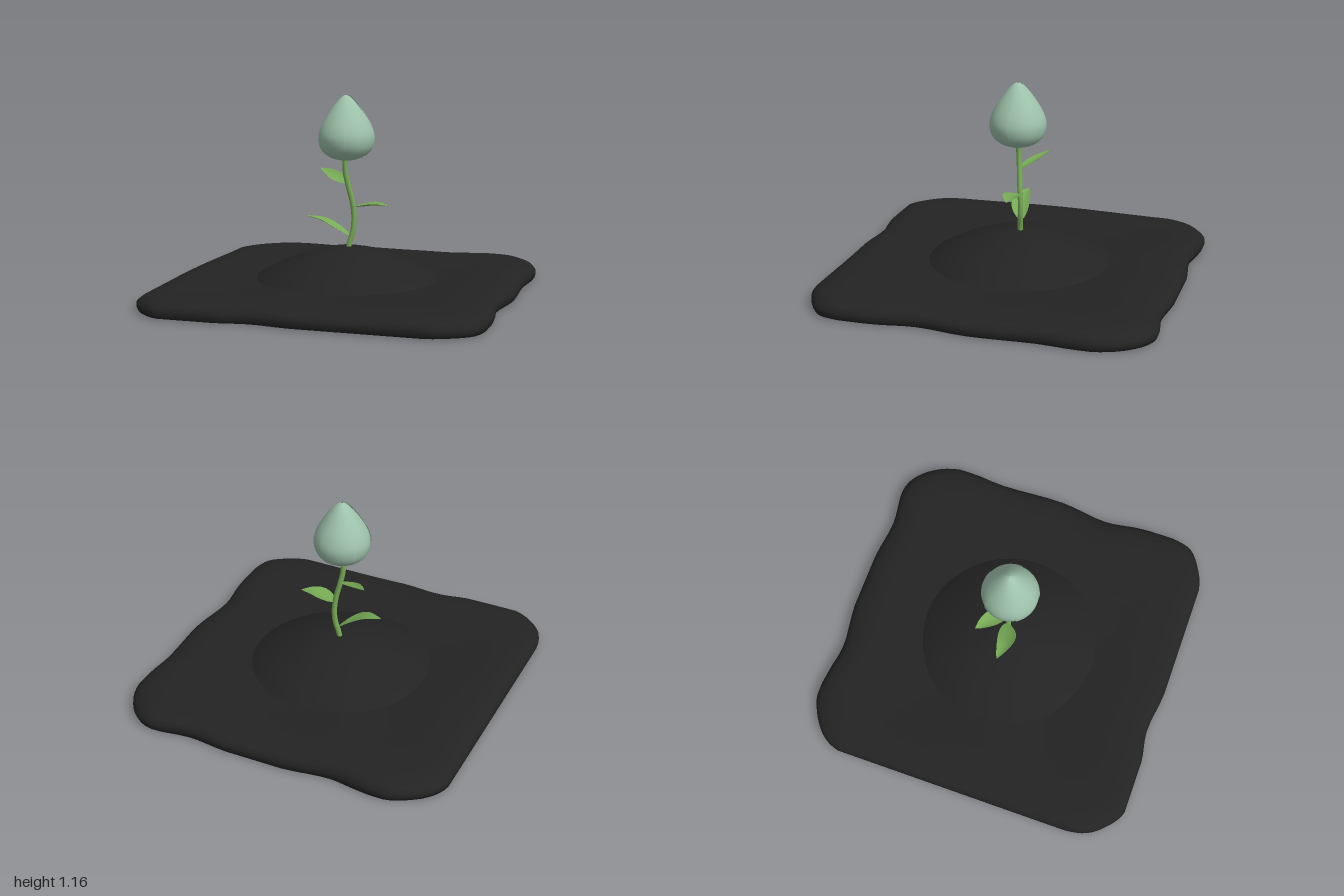
import * as THREE from 'three';

const V = (x, y, z) => new THREE.Vector3(x, y, z);
const soil = new THREE.MeshStandardMaterial({ color: 0x232323 });
soil.name = 'dark soil';
const green = new THREE.MeshStandardMaterial({ color: 0x76ab55, side: THREE.DoubleSide });
green.name = 'leaf green';
const pale = new THREE.MeshStandardMaterial({ color: 0x9ec2ab, side: THREE.DoubleSide });
pale.name = 'pale petal green';

// Smooth grid surface from f(u, v) -> Vector3; closed joins the ends of u
function surface(nu, nv, closed, f) {
  const cols = closed ? nu : nu + 1;
  const pos = [], index = [];
  for (let j = 0; j <= nv; j++)
    for (let i = 0; i < cols; i++) pos.push(...f(i / nu, j / nv).toArray());
  for (let j = 0; j < nv; j++)
    for (let i = 0; i < nu; i++) {
      const k = (i + 1) % cols;
      const a = j * cols + i, b = a + cols, c = j * cols + k, d = c + cols;
      index.push(a, b, c, c, b, d);
    }
  const g = new THREE.BufferGeometry();
  g.setAttribute('position', new THREE.Float32BufferAttribute(pos, 3));
  g.setIndex(index);
  g.computeVertexNormals();
  return g;
}

function add(parent, name, geometry, material) {
  const m = new THREE.Mesh(geometry, material);
  m.name = name;
  parent.add(m);
  return m;
}

// Wavy, rounded square slab of earth
function groundSlab() {
  const outline = new THREE.CatmullRomCurve3([
    [1, 0], [0.965, 0.3], [0.995, 0.52], [1, 0.74], [0.965, 0.87], [0.87, 0.945], [0.73, 1],
    [0.3, 1], [0, 1], [-0.26, 0.972], [-0.45, 1], [-0.78, 1], [-0.89, 0.93], [-0.97, 0.83], [-1, 0.7],
    [-1, 0.3], [-1, 0], [-1, -0.4], [-1, -0.75], [-0.95, -0.86], [-0.85, -0.945], [-0.72, -1],
    [-0.55, -0.99], [-0.38, -0.967], [-0.1, -1], [0.25, -1], [0.5, -0.975], [0.74, -1], [0.84, -0.965],
    [0.94, -0.86], [1, -0.7], [0.985, -0.4],
  ].map(([x, z]) => V(x, 0, z)), true, 'centripetal');
  const rim = outline.getPoints(128);
  const rings = [[0, 0.005], [0.6, 0.005], [0.97, 0.003], [0.992, 0.008], [1, 0.03], [0.998, 0.055],
    [0.98, 0.076], [0.95, 0.091], [0.9, 0.102], [0.83, 0.107], [0.7, 0.103], [0.55, 0.095], [0.3, 0.09], [0, 0.09]];
  return surface(128, rings.length - 1, true, (u, v) => {
    const p = rim[Math.round(u * 128)];
    const [s, y] = rings[Math.round(v * (rings.length - 1))];
    const wave = y > 0.07 ? 0.006 * s * Math.sin(p.x * 5 + 0.6) * Math.cos(p.z * 4) : 0;
    return V(THREE.MathUtils.clamp(p.x, -1, 1) * s, y + wave, THREE.MathUtils.clamp(p.z, -1, 1) * s);
  });
}

// Pointed leaf along a curve, cupped upward across its width
function leafBlade(points, side, width) {
  const spine = new THREE.CatmullRomCurve3(points.map(p => V(...p)));
  const across = V(...side).normalize();
  return surface(8, 16, false, (u, v) => {
    const s = u * 2 - 1;
    const w = width * Math.pow(Math.sin(Math.PI * Math.pow(v, 0.85)), 0.85) + 0.004 * (1 - v);
    const p = spine.getPoint(v).addScaledVector(across, s * w);
    p.y += 0.014 * s * s * Math.sin(Math.PI * v);
    return p;
  });
}

// Bud outline as radius and height
const budProfile = new THREE.CatmullRomCurve3([
  [0, 0.785], [0.055, 0.79], [0.105, 0.81], [0.145, 0.85], [0.161, 0.905], [0.158, 0.945], [0.14, 0.995],
  [0.105, 1.055], [0.066, 1.11], [0.03, 1.15], [0.006, 1.166],
].map(([r, y]) => V(r, y, 0)));

// One petal wraps the bud, with one edge lifted over its neighbour
function petal(angle) {
  return surface(16, 24, false, (u, v) => {
    const s = u * 2 - 1;
    const p = budProfile.getPoint(v);
    const half = v < 0.55 ? 0.85 : 0.85 - 0.5 * Math.pow((v - 0.55) / 0.45, 1.5);
    const a = angle + s * half;
    const r = p.x + (0.003 + 0.003 * s) * Math.min(1, v * 3);
    return V(r * Math.cos(a), p.y, r * Math.sin(a));
  });
}

export function createModel() {
  const model = new THREE.Group();
  model.name = 'buddingPlant';

  // Ground and mound
  add(model, 'groundSlab', groundSlab(), soil);
  const moundProfile = [[0.56, 0.075], [0.53, 0.098], [0.47, 0.133], [0.39, 0.173], [0.29, 0.213],
    [0.19, 0.246], [0.1, 0.266], [0.04, 0.272], [0, 0.273]].map(([r, y]) => new THREE.Vector2(r, y));
  add(model, 'mound', new THREE.LatheGeometry(moundProfile, 40), soil).position.z = -0.01;

  // Curving stem
  const stemPath = new THREE.CatmullRomCurve3([
    V(0, 0.24, -0.015), V(0.012, 0.3, -0.018), V(0.03, 0.37, -0.024), V(0.035, 0.45, -0.026),
    V(0.026, 0.54, -0.02), V(0.005, 0.63, -0.012), V(-0.01, 0.71, -0.004), V(-0.012, 0.82, 0),
  ]);
  add(model, 'stem', new THREE.TubeGeometry(stemPath, 40, 0.016, 12), green);

  // Three leaves at different heights
  const leaves = [
    ['upperLeaf', [[0, 0.645, -0.01], [-0.07, 0.663, -0.05], [-0.14, 0.69, -0.1], [-0.208, 0.715, -0.142]], [0.55, 0.2, -0.8], 0.045],
    ['middleLeaf', [[0.03, 0.505, -0.02], [0.1, 0.516, -0.012], [0.18, 0.526, -0.008], [0.26, 0.522, -0.008]], [0, 0, 1], 0.055],
    ['lowerLeaf', [[0.015, 0.335, -0.02], [-0.06, 0.38, 0.005], [-0.15, 0.425, 0.012], [-0.255, 0.448, 0.004]], [0, 0, 1], 0.052],
  ];
  for (const [name, points, side, width] of leaves) add(model, name, leafBlade(points, side, width), green);

  // Closed bud of overlapping petals
  const bud = new THREE.Group();
  bud.name = 'bud';
  bud.position.x = -0.004;
  const core = budProfile.getPoints(32).map(p => new THREE.Vector2(Math.max(0, p.x * 0.985), p.y));
  add(bud, 'budCore', new THREE.LatheGeometry(core, 32), pale);
  for (let i = 0; i < 5; i++) add(bud, 'petal' + (i + 1), petal(0.5 + i * Math.PI * 2 / 5), pale);
  model.add(bud);
  return model;
}
